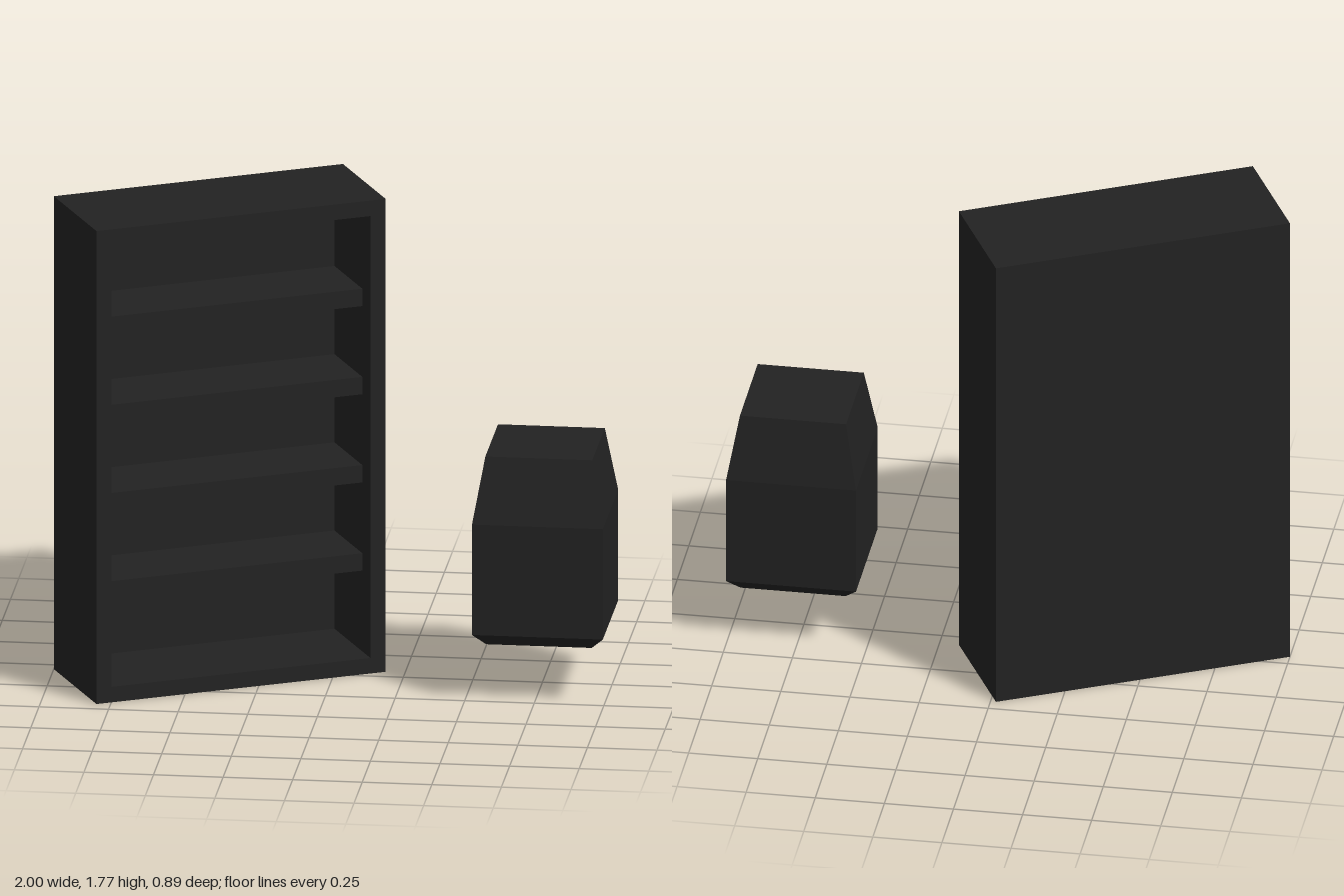
import * as THREE from 'three';

const material = new THREE.MeshStandardMaterial({ color: 0x222222, flatShading: true });

function addPart(parent, name, geometry, x = 0, y = 0, z = 0) {
  const mesh = new THREE.Mesh(geometry, material);
  mesh.name = name;
  mesh.position.set(x, y, z);
  parent.add(mesh);
  return mesh;
}

// Open-fronted bookcase, turned on its vertical axis
function createBookcase() {
  const width = 1.1, height = 1.77, depth = 0.44, wall = 0.058, back = 0.07;
  const inner = width / 2 - wall;
  const bookcase = new THREE.Group();
  bookcase.name = 'bookcase';

  // Frame: rectangle with the opening cut out
  const outline = new THREE.Shape();
  outline.moveTo(-width / 2, 0).lineTo(width / 2, 0).lineTo(width / 2, height).lineTo(-width / 2, height).closePath();
  const opening = new THREE.Path();
  opening.moveTo(-inner, wall).lineTo(-inner, height - wall).lineTo(inner, height - wall).lineTo(inner, wall).closePath();
  outline.holes.push(opening);
  const frame = new THREE.ExtrudeGeometry(outline, { depth: depth - back, bevelEnabled: false });
  addPart(bookcase, 'frame', frame, 0, 0, -depth / 2 + back);

  // Back panel closes the frame
  addPart(bookcase, 'backPanel', new THREE.BoxGeometry(width, height, back), 0, height / 2, (back - depth) / 2);

  // Shelves, set back from the front edge
  const setback = 0.083, shelfDepth = depth - back - setback;
  for (let i = 0; i < 4; i++) {
    addPart(bookcase, `shelf${i + 1}`, new THREE.BoxGeometry(inner * 2, 0.065, shelfDepth),
      0, 0.393 + i * 0.33, depth / 2 - setback - shelfDepth / 2);
  }

  bookcase.position.set(-0.41, 0, -0.003);
  bookcase.rotation.y = THREE.MathUtils.degToRad(27);
  return bookcase;
}

export function createModel() {
  const model = new THREE.Group();
  model.name = 'bookcaseAndBlock';
  model.add(createBookcase());

  // Square block with a bevelled base and tapered top: [half width, height]
  const profile = [[0, 0.21], [0.19, 0.21], [0.235, 0.257], [0.235, 0.67], [0.192, 0.913], [0, 0.913]]
    .map(([half, y]) => new THREE.Vector2(half * Math.SQRT2, y));
  addPart(model, 'taperedBlock', new THREE.LatheGeometry(profile, 4, Math.PI / 4), 0.765, 0, 0.046);

  return model;
}
